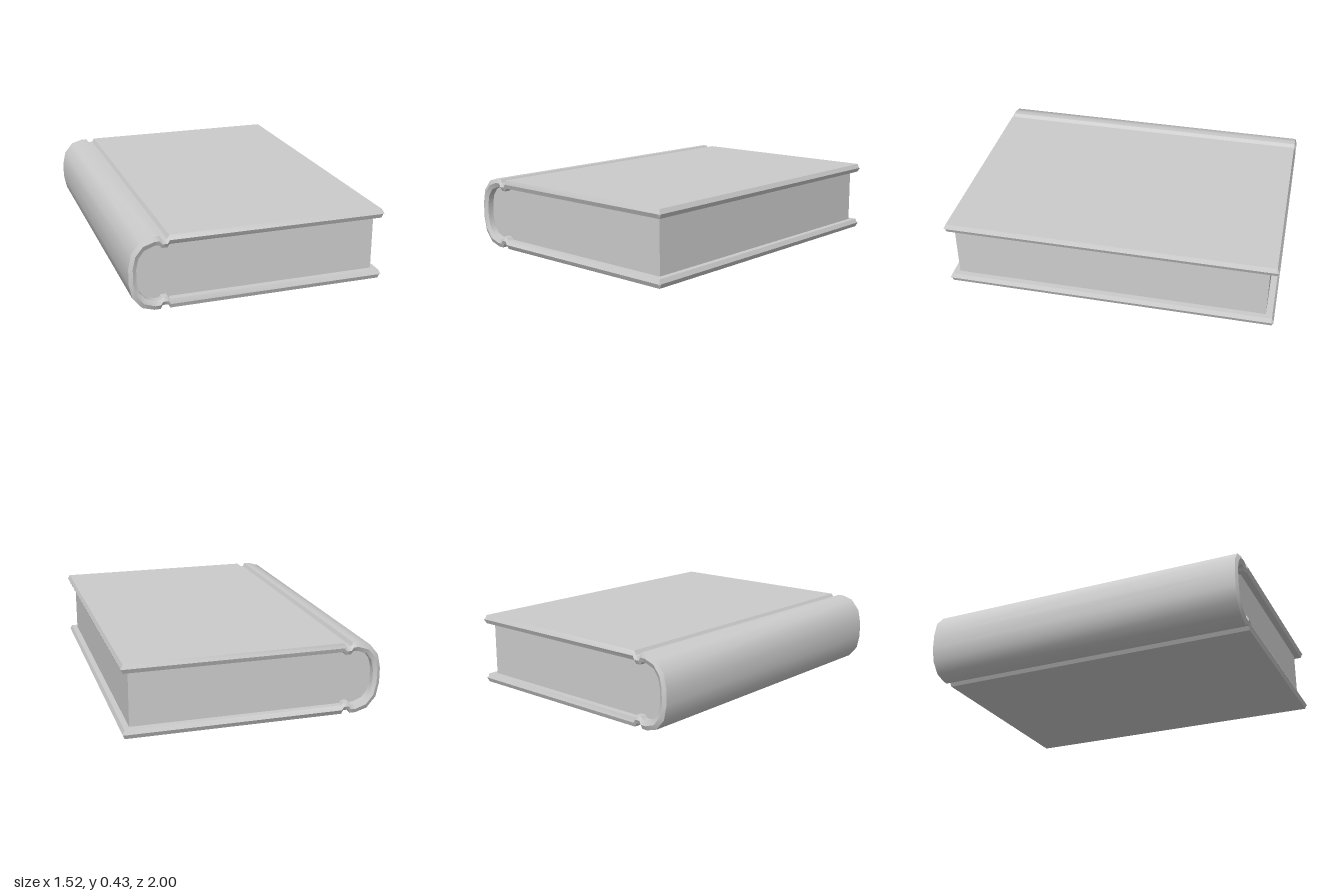
import * as THREE from 'three';
import { toCreasedNormals } from 'three/addons/utils/BufferGeometryUtils.js';

const H = 0.433; // total thickness of the book

// Upper half of the case, from fore edge to spine: [outerX, outerY, innerX, innerY]
const upper = [
  [0.76, 0.406, 0.76, 0.406],       // pointed fore edge
  [0.748, H, 0.748, 0.38],
  [-0.53, H, -0.53, 0.38],
  [-0.543, 0.411, -0.543, 0.362],   // hinge groove
  [-0.573, 0.411, -0.573, 0.362],
  [-0.585, H, -0.588, 0.38],
  [-0.62, H, -0.615, 0.38],         // rounded spine
  [-0.69, 0.412, -0.672, 0.358],
  [-0.744, 0.347, -0.704, 0.316],
  [-0.762, 0.262, -0.718, 0.255],
];
const lower = upper.map(([a, b, c, d]) => [a, H - b, c, H - d]).reverse();
const stations = [...upper, ...lower];

// Bent board: a six-sided section with pointed head and tail edges, swept along the stations
function coverGeometry(zFull, zTip) {
  const pos = [], index = [];
  for (const [ox, oy, ix, iy] of stations) {
    const mx = (ox + ix) / 2, my = (oy + iy) / 2;
    pos.push(ox, oy, -zFull, mx, my, -zTip, ix, iy, -zFull);
    pos.push(ix, iy, zFull, mx, my, zTip, ox, oy, zFull);
  }
  for (let i = 0; i < stations.length - 1; i++) {
    for (let k = 0; k < 6; k++) {
      const a = i * 6 + k, b = i * 6 + (k + 1) % 6;
      index.push(a, b, b + 6, a, b + 6, a + 6);
    }
  }
  const geo = new THREE.BufferGeometry();
  geo.setAttribute('position', new THREE.Float32BufferAttribute(pos, 3));
  geo.setIndex(index);
  return toCreasedNormals(geo, 0.7);
}

// Page block: fills the inside of the case, set back from its edges
function pagesGeometry(foreEdge, halfLength) {
  const outline = stations.slice(1, -1).map(([, , x, y]) => new THREE.Vector2(Math.min(x, foreEdge), y));
  const geo = new THREE.ExtrudeGeometry(new THREE.Shape(outline), { depth: 2 * halfLength, bevelEnabled: false });
  geo.translate(0, 0, -halfLength);
  return toCreasedNormals(geo, 0.7);
}

export function createModel() {
  const group = new THREE.Group();
  group.name = 'book';
  const material = new THREE.MeshStandardMaterial({ color: 0xcccccc });
  const add = (name, geo) => {
    const mesh = new THREE.Mesh(geo, material);
    mesh.name = name;
    group.add(mesh);
  };
  add('cover', coverGeometry(0.988, 1));
  add('pages', pagesGeometry(0.715, 0.95));
  return group;
}
